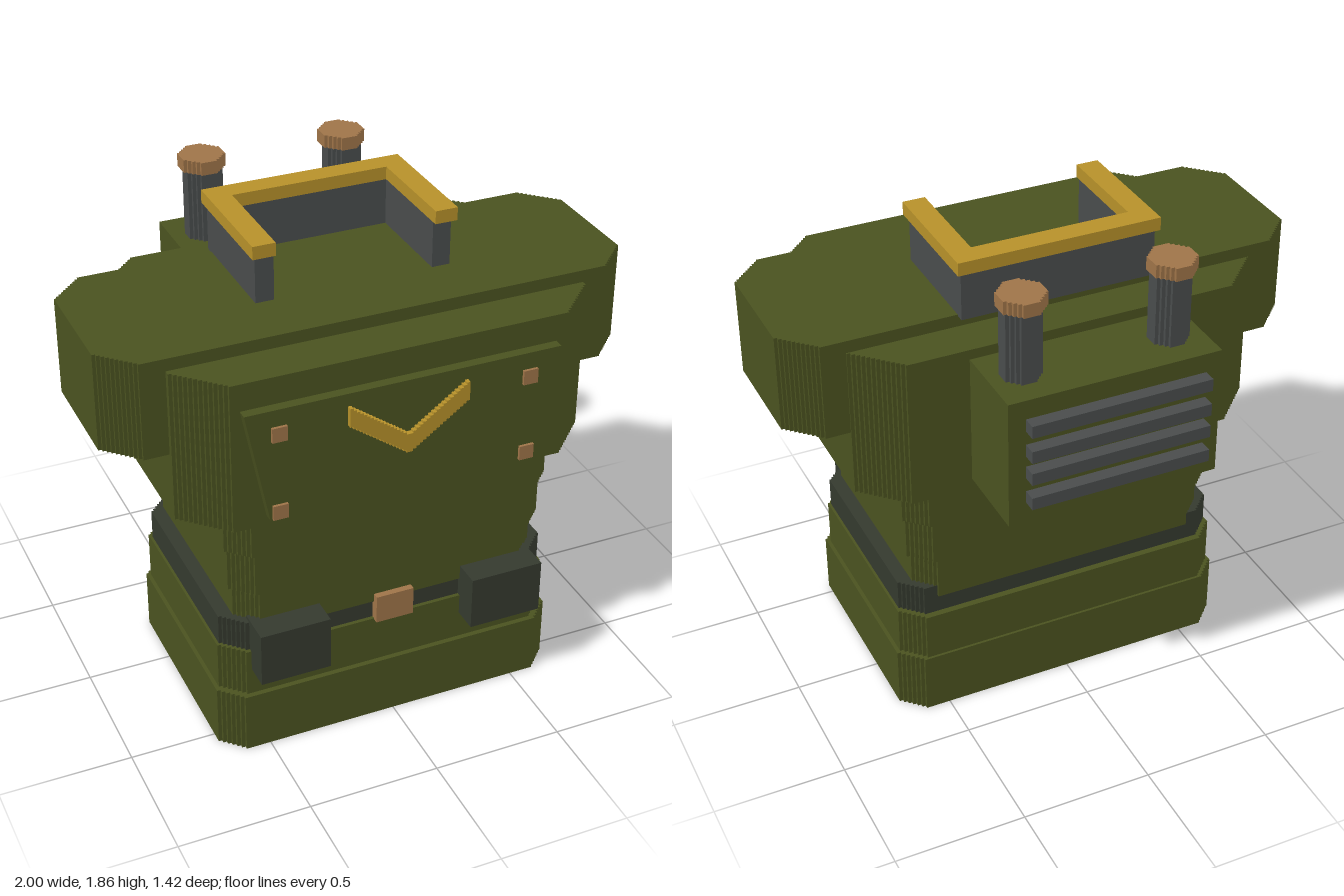
import * as THREE from 'three';

const STEP = 0.0125; // size of the small stairs on cut corners and slopes

const mat = (name, color) => {
  const m = new THREE.MeshStandardMaterial({ color });
  m.name = name;
  return m;
};

export function createModel() {
  const group = new THREE.Group();
  const green = mat('armour green', 0x4b5320);
  const dark = mat('belt dark', 0x353a2f);
  const grey = mat('gunmetal grey', 0x4a4d4d);
  const gold = mat('gold', 0xb8922a);
  const copper = mat('copper', 0xa07549);

  const add = (name, geometry, material) => {
    const mesh = new THREE.Mesh(geometry, material);
    mesh.name = name;
    group.add(mesh);
    return mesh;
  };

  // Box given by its limits on each axis
  const box = (name, material, [x0, x1], [y0, y1], [z0, z1]) => {
    const g = new THREE.BoxGeometry(x1 - x0, y1 - y0, z1 - z0);
    g.translate((x0 + x1) / 2, (y0 + y1) / 2, (z0 + z1) / 2);
    return add(name, g, material);
  };

  // Upright block whose four vertical corners are cut off in fine stairs
  const block = (name, material, cx, hx, [y0, y1], [z0, z1], cut) => {
    const hz = (z1 - z0) / 2;
    const n = Math.round(cut / STEP), s = cut / n;
    const corner = [];
    for (let i = 0; i <= n; i++) {
      corner.push([hx - i * s, hz - cut + i * s]);
      if (i < n) corner.push([hx - (i + 1) * s, hz - cut + i * s]);
    }
    const points = [];
    for (const [sx, sz] of [[1, 1], [-1, 1], [-1, -1], [1, -1]]) {
      const c = sx * sz > 0 ? corner : [...corner].reverse();
      for (const [x, z] of c) points.push(new THREE.Vector2(x * sx, z * sz));
    }
    const g = new THREE.ExtrudeGeometry(new THREE.Shape(points), { depth: y1 - y0, bevelEnabled: false });
    g.rotateX(-Math.PI / 2);
    g.translate(cx, y0, (z0 + z1) / 2);
    return add(name, g, material);
  };

  // Stacked torso sections
  block('hipLower', green, 0, 0.675, [0, 0.24], [-0.32, 0.625], 0.08);
  block('hipUpper', green, 0, 0.66, [0.24, 0.43], [-0.31, 0.605], 0.08);
  block('belt', dark, 0, 0.65, [0.43, 0.55], [-0.285, 0.59], 0.075);
  block('waist', green, 0, 0.597, [0.505, 0.68], [-0.296, 0.6], 0.075);
  block('abdomenLower', green, 0, 0.618, [0.68, 0.855], [-0.31, 0.615], 0.075);
  block('abdomenUpper', green, 0, 0.633, [0.855, 1.0], [-0.322, 0.628], 0.075);
  block('chest', green, 0, 0.787, [1.0, 1.578], [-0.35, 0.652], 0.155);
  block('shoulders', green, 0, 1.0, [1.253, 1.625], [-0.19, 0.475], 0.12);

  // Tapered chest plate
  const plate = new THREE.Shape([[-0.51, 1.04], [0.5, 1.04], [0.587, 1.475], [-0.597, 1.475]]
    .map(([x, y]) => new THREE.Vector2(x, y)));
  const plateGeo = new THREE.ExtrudeGeometry(plate, { depth: 0.05, bevelEnabled: false });
  plateGeo.translate(0, 0, 0.64);
  add('chestPlate', plateGeo, green);

  // Chevron badge with stepped arms
  const lower = [], upper = [];
  const count = 18;
  for (let i = -count; i < count; i++) {
    const x0 = i * STEP, x1 = x0 + STEP;
    const y = 1.2 + 0.72 * Math.min(Math.abs(x0), Math.abs(x1));
    lower.push(new THREE.Vector2(x0, y), new THREE.Vector2(x1, y));
    upper.push(new THREE.Vector2(x0, y + 0.073), new THREE.Vector2(x1, y + 0.073));
  }
  const chevronGeo = new THREE.ExtrudeGeometry(
    new THREE.Shape([...lower, ...upper.reverse()]), { depth: 0.03, bevelEnabled: false });
  chevronGeo.translate(0, 0, 0.68);
  add('chevron', chevronGeo, gold);

  // Plate rivets
  for (const x of [-0.475, 0.467]) {
    for (const y of [1.383, 1.073]) {
      box('rivet', copper, [x - 0.028, x + 0.028], [y - 0.028, y + 0.028], [0.66, 0.701]);
    }
  }

  // Belt pouches and buckle
  box('pouchRight', dark, [-0.56, -0.292], [0.35, 0.562], [0.56, 0.703]);
  box('pouchLeft', dark, [0.275, 0.56], [0.35, 0.562], [0.56, 0.703]);
  box('buckle', copper, [-0.075, 0.073], [0.425, 0.538], [0.57, 0.625]);

  // U-shaped collar, open to the front, with a rim on top
  const collar = (name, material, hx, t, y, z0, z1) => {
    const s = new THREE.Shape([
      [-hx, z0], [hx, z0], [hx, z1], [hx - t, z1], [hx - t, z0 + t], [t - hx, z0 + t], [t - hx, z1], [-hx, z1],
    ].map(([x, z]) => new THREE.Vector2(x, -z)));
    const g = new THREE.ExtrudeGeometry(s, { depth: y[1] - y[0], bevelEnabled: false });
    g.rotateX(-Math.PI / 2);
    g.translate(0, y[0], 0);
    add(name, g, material);
  };
  collar('collarWall', grey, 0.373, 0.07, [1.62, 1.805], -0.223, 0.238);
  collar('collarRim', gold, 0.388, 0.086, [1.803, 1.853], -0.237, 0.258);

  // Backpack with vent bars
  box('backpack', green, [-0.41, 0.4], [1.04, 1.54], [-0.663, -0.33]);
  for (const y of [1.148, 1.25, 1.34, 1.442]) {
    box('ventBar', grey, [-0.352, 0.335], [y - 0.024, y + 0.024], [-0.713, -0.65]);
  }

  // Exhaust pipes with octagonal caps
  for (const x of [-0.284, 0.28]) {
    block('exhaustPipe', grey, x, 0.069, [1.53, 1.815], [-0.574, -0.436], 0.04);
    block('exhaustCap', copper, x, 0.082, [1.813, 1.863], [-0.598, -0.427], 0.05);
  }

  return group;
}
